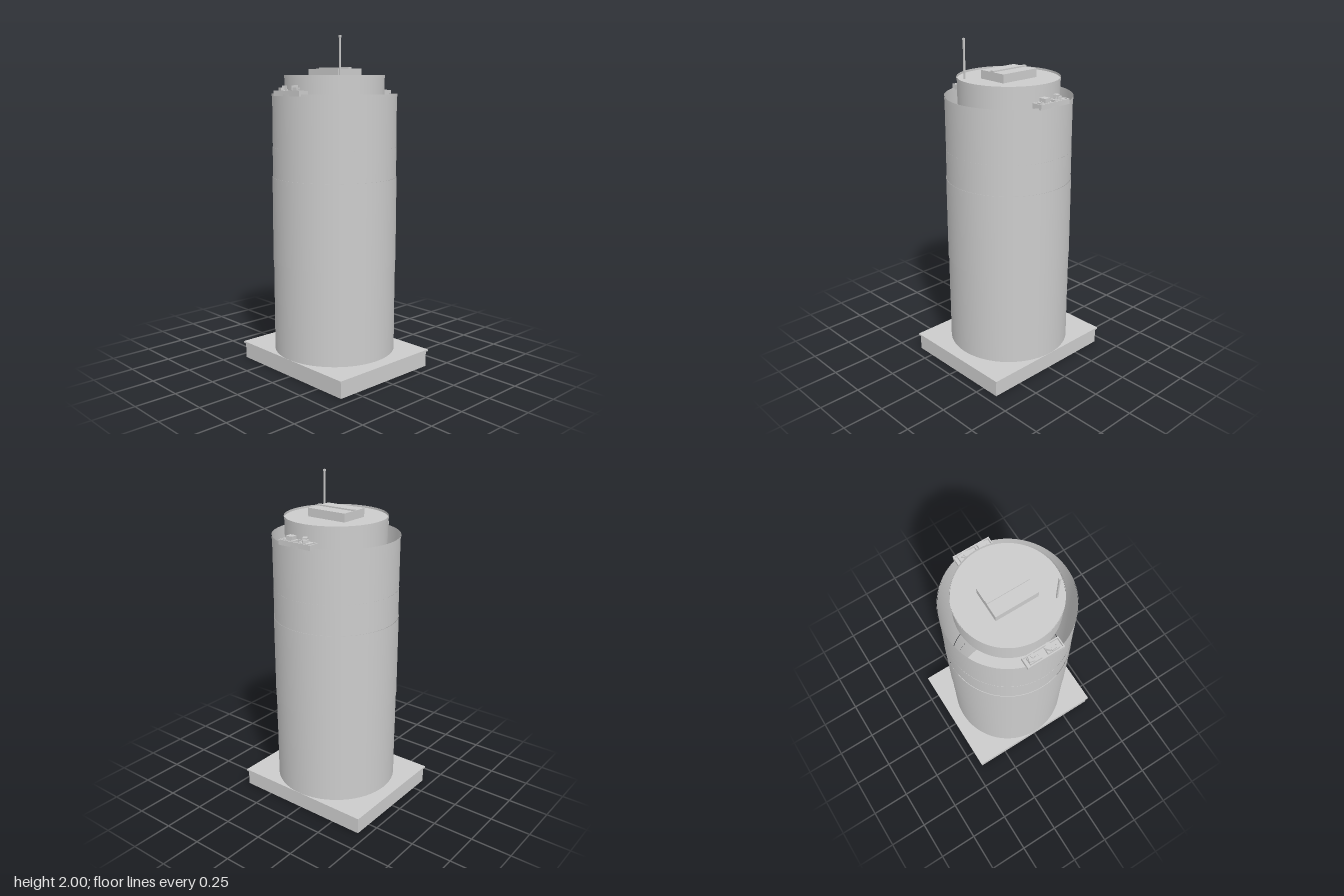
import * as THREE from 'three';

const concrete = new THREE.MeshStandardMaterial({ color: 0xcccccc, side: THREE.DoubleSide });
concrete.name = 'light grey';

function add(parent, name, geometry, x = 0, y = 0, z = 0, turn = 0) {
  const mesh = new THREE.Mesh(geometry, concrete);
  mesh.name = name;
  mesh.position.set(x, y, z);
  mesh.rotation.y = turn;
  parent.add(mesh);
  return mesh;
}

// Box given by its centre on the ground plane and its bottom and top heights
function block(parent, name, w, d, bottom, top, x = 0, z = 0, turn = 0) {
  return add(parent, name, new THREE.BoxGeometry(w, top - bottom, d), x, (bottom + top) / 2, z, turn);
}

// Open-ended round wall
function wall(parent, name, radius, bottom, top) {
  return add(parent, name, new THREE.CylinderGeometry(radius, radius, top - bottom, 96, 1, true), 0, (bottom + top) / 2, 0);
}

// Hollow plinth: four skirt walls below an overhanging slab
function makePlinth() {
  const g = new THREE.Group();
  g.name = 'plinth';
  for (const s of [-1, 1]) {
    add(g, 'plinthLongWall', new THREE.PlaneGeometry(0.884, 0.098), 0, 0.049, s * 0.362, s > 0 ? 0 : Math.PI);
    add(g, 'plinthShortWall', new THREE.PlaneGeometry(0.724, 0.098), s * 0.442, 0.049, 0, s * Math.PI / 2);
  }
  block(g, 'plinthSlab', 0.9, 0.744, 0.096, 0.107);
  return g;
}

// Shallow tray with two wells, each holding a few loose blocks
function makeTray(side, blocks) {
  const g = new THREE.Group();
  g.name = side > 0 ? 'frontTray' : 'backTray';
  const z = side * 0.34;
  block(g, 'trayFloor', 0.225, 0.066, 1.664, 1.676, 0, z);
  for (const s of [-1, 1]) {
    block(g, 'trayLongEdge', 0.225, 0.007, 1.676, 1.694, 0, z + s * 0.0295);
    block(g, 'trayEnd', 0.007, 0.052, 1.676, 1.694, s * 0.109, z);
    block(g, 'equipmentBase', 0.074, 0.042, 1.676, 1.696, s * 0.054, z);
    block(g, 'stud', 0.006, 0.006, 1.696, 1.704, s * 0.054 + 0.024, z);
  }
  for (const [x, dz, size, top, turn] of blocks) {
    block(g, 'equipmentBlock', size, size, 1.696, top, x, z + dz, turn);
  }
  return g;
}

export function createModel() {
  const model = new THREE.Group();
  model.name = 'roundTower';
  model.add(makePlinth());

  // Shaft in very slightly stepped bands, open at the top
  const bands = [[0.107, 0.43, 0.371], [0.43, 0.67, 0.372], [0.67, 1.18, 0.375], [1.18, 1.36, 0.372], [1.36, 1.672, 0.371]];
  for (const [bottom, top, radius] of bands) wall(model, 'shaftBand', radius, bottom, top);
  wall(model, 'shaftRim', 0.374, 1.66, 1.674);

  // Set-back crown with a recessed roof
  wall(model, 'crownWall', 0.297, 1.63, 1.78);
  wall(model, 'crownRim', 0.3, 1.765, 1.782);
  const roof = add(model, 'crownRoof', new THREE.CircleGeometry(0.3, 96), 0, 1.77, 0);
  roof.rotation.x = -Math.PI / 2;

  // Roof housing with a raised ridge strip
  block(model, 'roofHousing', 0.26, 0.187, 1.77, 1.82, 0, -0.001);
  block(model, 'housingRidge', 0.26, 0.022, 1.82, 1.828, 0, -0.002);

  // Antenna
  block(model, 'antennaMast', 0.009, 0.009, 1.77, 2, 0.205, 0.149);
  block(model, 'antennaTip', 0.012, 0.012, 1.988, 2, 0.205, 0.149);

  // Equipment trays on the front and back of the rim: x, z offset, size, top, turn
  model.add(makeTray(1, [
    [-0.072, 0, 0.033, 1.712, -0.25], [-0.061, -0.006, 0.02, 1.722, 0.4],
    [0.035, -0.005, 0.034, 1.722, 0.75], [0.055, 0.004, 0.03, 1.712, 0.1],
  ]));
  model.add(makeTray(-1, [
    [-0.055, -0.002, 0.032, 1.712, 0.8], [-0.047, 0.006, 0.028, 1.722, 0.35],
    [0.05, 0.002, 0.042, 1.718, 0.08],
  ]));
  return model;
}
